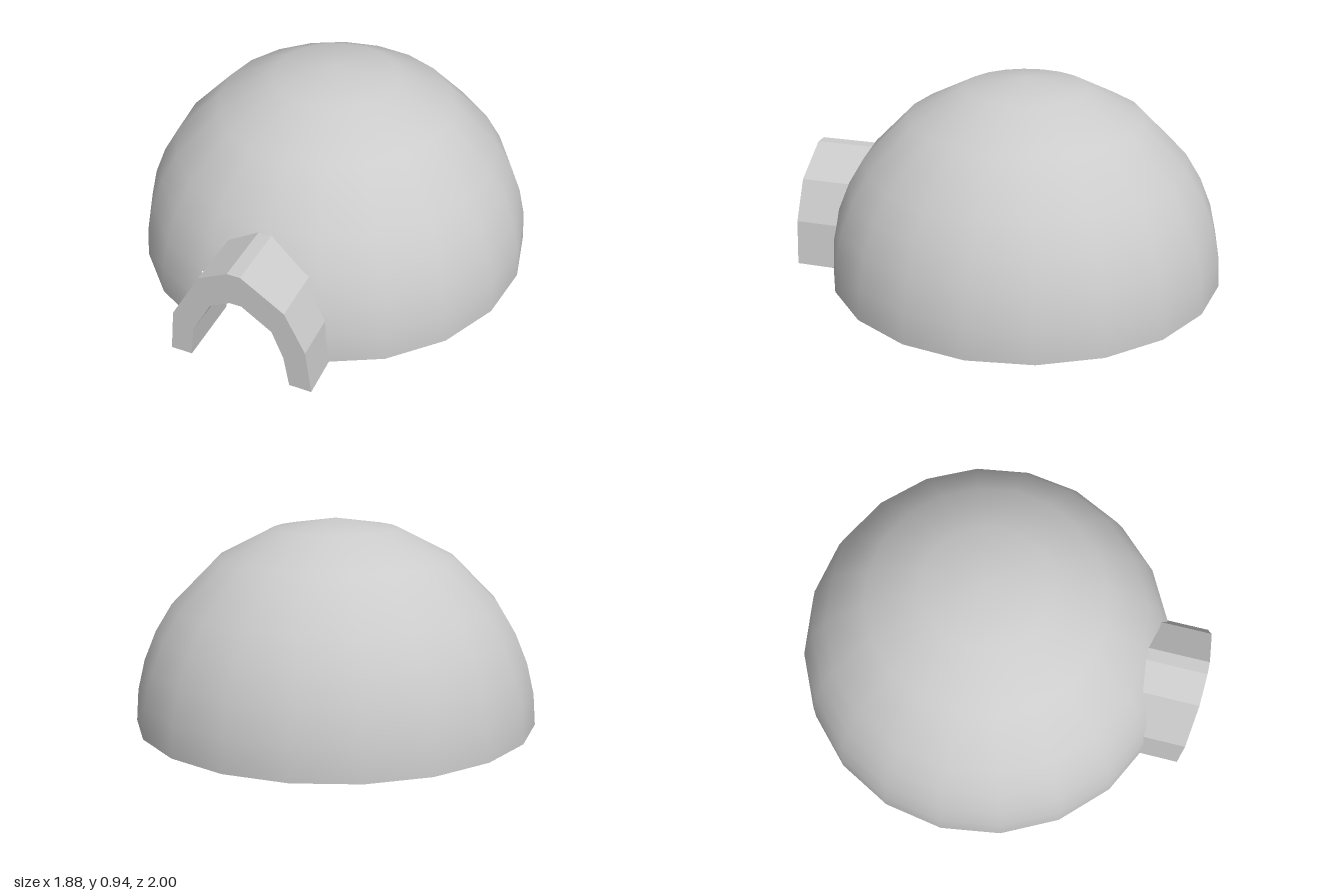
import * as THREE from 'three';

const RADIUS = 0.94;
const SIDES = 20;
const LATITUDES = [0, 9, 18, 27, 36, 54, 72, 90];

// Hemispherical shell, built ring by ring, with a doorway left open at the front (+z)
function domeGeometry() {
  const positions = [], normals = [], index = [];
  for (const degrees of LATITUDES) {
    const lat = THREE.MathUtils.degToRad(degrees);
    for (let i = 0; i <= SIDES; i++) {
      const az = (i / SIDES) * Math.PI * 2;
      const n = [Math.sin(az) * Math.cos(lat), Math.sin(lat), Math.cos(az) * Math.cos(lat)];
      normals.push(...n);
      positions.push(...n.map((v) => v * RADIUS));
    }
  }
  const row = SIDES + 1;
  for (let r = 0; r < LATITUDES.length - 1; r++) {
    for (let i = 0; i < SIDES; i++) {
      const a = r * row + i, b = a + 1, c = b + row, d = a + row;
      const leftOfDoor = i === 0, rightOfDoor = i === SIDES - 1;
      const atDoor = leftOfDoor || rightOfDoor;
      if (atDoor && r < 2) continue;
      if (atDoor && r === 2) {
        // the doorway narrows to a point above these two cells
        if (leftOfDoor) index.push(b, c, d);
        else index.push(a, c, d);
        continue;
      }
      index.push(a, b, c);
      if (r < LATITUDES.length - 2) index.push(a, c, d);
    }
  }
  const geometry = new THREE.BufferGeometry();
  geometry.setAttribute('position', new THREE.Float32BufferAttribute(positions, 3));
  geometry.setAttribute('normal', new THREE.Float32BufferAttribute(normals, 3));
  geometry.setIndex(index);
  return geometry;
}

// Slightly uneven faceted arch, extruded from inside the shell to the front
function archGeometry() {
  const outer = [[0.335, 0], [0.31, 0.215], [0.22, 0.4], [0.03, 0.528],
    [-0.03, 0.528], [-0.167, 0.458], [-0.308, 0.215], [-0.335, 0]];
  const inner = [[-0.235, 0], [-0.216, 0.15], [-0.12, 0.322], [-0.027, 0.372],
    [0.027, 0.372], [0.16, 0.28], [0.21, 0.15], [0.233, 0]];
  const shape = new THREE.Shape([...outer, ...inner].map(([x, y]) => new THREE.Vector2(x, y)));
  const back = 0.68;
  const geometry = new THREE.ExtrudeGeometry(shape, { depth: 1 - back, bevelEnabled: false });
  return geometry.translate(0, 0, back);
}

export function createModel() {
  const group = new THREE.Group();
  group.name = 'domeHut';

  const dome = new THREE.Mesh(
    domeGeometry(),
    new THREE.MeshStandardMaterial({ color: 0xcccccc, side: THREE.DoubleSide })
  );
  dome.name = 'dome';
  dome.position.z = RADIUS - 1;

  const arch = new THREE.Mesh(archGeometry(), new THREE.MeshStandardMaterial({ color: 0xcccccc }));
  arch.name = 'entranceArch';

  group.add(dome, arch);
  return group;
}
